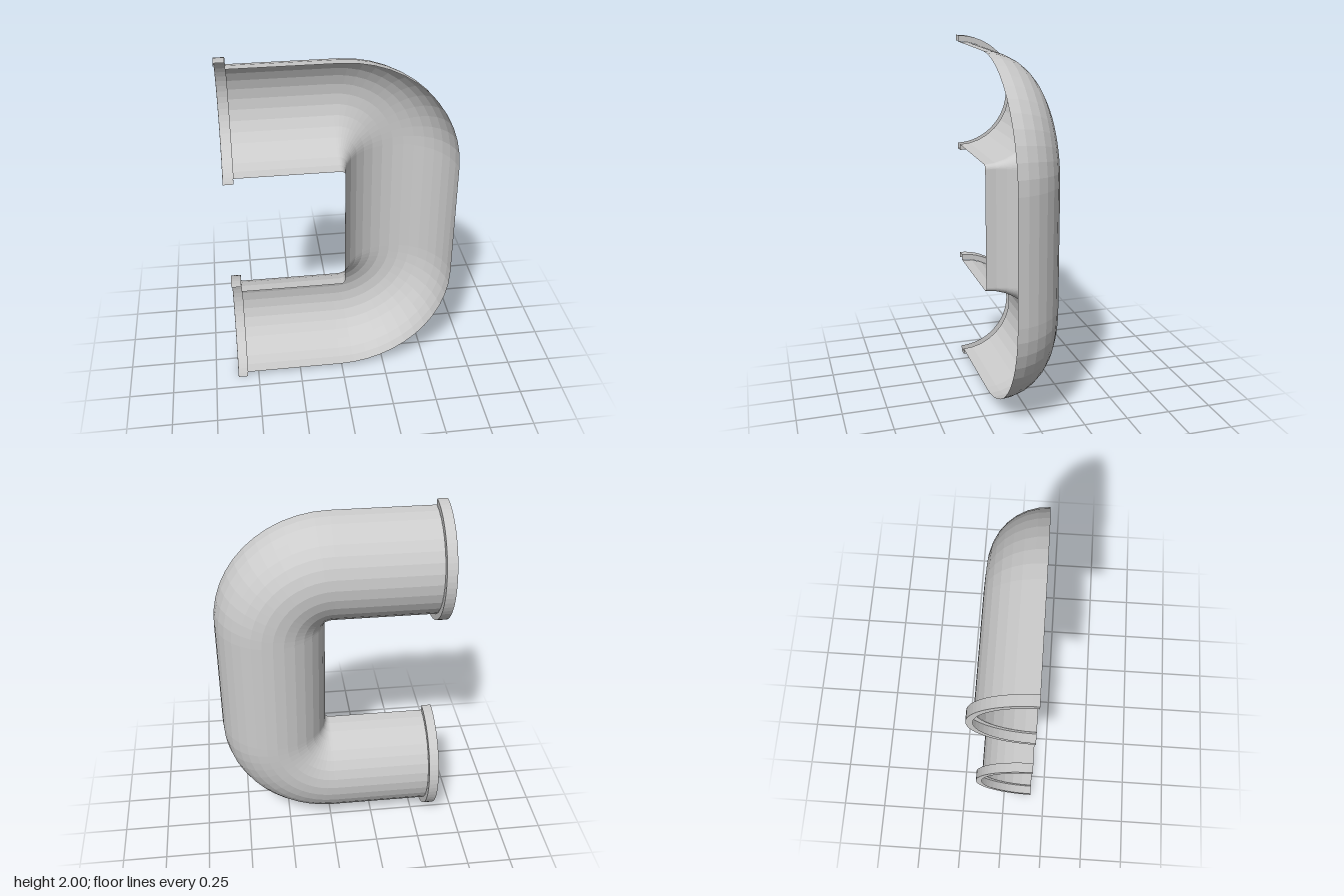
import * as THREE from 'three';

const PIPE_R = 0.301, FLANGE_R = 0.335, ZC = 0.1675; // ZC: plane of the open cut
const ARM_Y = 0.665, END_X = -0.62, STEP_X = -0.565;  // ARM_Y: arm height above or below the middle
const BEND_R = 0.326, BEND_X = -0.01, SIDES = 16, BEND_STEPS = 12;

const material = new THREE.MeshStandardMaterial({
  color: 0xcccccc, flatShading: true, side: THREE.DoubleSide,
});

// Half-round shell swept along a U: each station has a centre and an outward direction
function halfPipeGeometry() {
  const stations = [{ x: STEP_X, y: 1 + ARM_Y, a: Math.PI / 2 }];
  for (const s of [1, -1]) {
    for (let i = 0; i <= BEND_STEPS; i++) {
      const k = s > 0 ? BEND_STEPS - i : i;
      const a = s * (k / BEND_STEPS) * Math.PI / 2;
      stations.push({
        x: BEND_X + BEND_R * Math.cos(a),
        y: 1 + s * (ARM_Y - BEND_R) + BEND_R * Math.sin(a),
        a,
      });
    }
  }
  stations.push({ x: STEP_X, y: 1 - ARM_Y, a: -Math.PI / 2 });

  const positions = [], index = [];
  stations.forEach(({ x, y, a }, i) => {
    for (let j = 0; j <= SIDES; j++) {
      const t = (j / SIDES) * Math.PI;
      const out = PIPE_R * Math.cos(t);
      positions.push(x + out * Math.cos(a), y + out * Math.sin(a), ZC - PIPE_R * Math.sin(t));
      if (i > 0 && j > 0) {
        const d = i * (SIDES + 1) + j, c = d - 1, b = d - SIDES - 1, e = b - 1;
        index.push(e, b, c, b, d, c);
      }
    }
  });
  const geometry = new THREE.BufferGeometry();
  geometry.setAttribute('position', new THREE.Float32BufferAttribute(positions, 3));
  geometry.setIndex(index);
  geometry.computeVertexNormals();
  return geometry;
}

// Half ring of thin sheet: step, outer band and end face
function flangeGeometry() {
  const profile = [
    [PIPE_R, -STEP_X], [FLANGE_R, -STEP_X], [FLANGE_R, -END_X], [PIPE_R, -END_X],
  ].map(([r, h]) => new THREE.Vector2(r, h));
  return new THREE.LatheGeometry(profile, SIDES * 2, Math.PI / 2, Math.PI).rotateZ(Math.PI / 2);
}

export function createModel() {
  const group = new THREE.Group();
  group.name = 'halfPipeBend';

  const pipe = new THREE.Mesh(halfPipeGeometry(), material);
  pipe.name = 'halfPipe';
  group.add(pipe);

  const geometry = flangeGeometry();
  for (const [name, s] of [['upperFlange', 1], ['lowerFlange', -1]]) {
    const flange = new THREE.Mesh(geometry, material);
    flange.name = name;
    flange.position.set(0, 1 + s * ARM_Y, ZC);
    group.add(flange);
  }
  return group;
}
